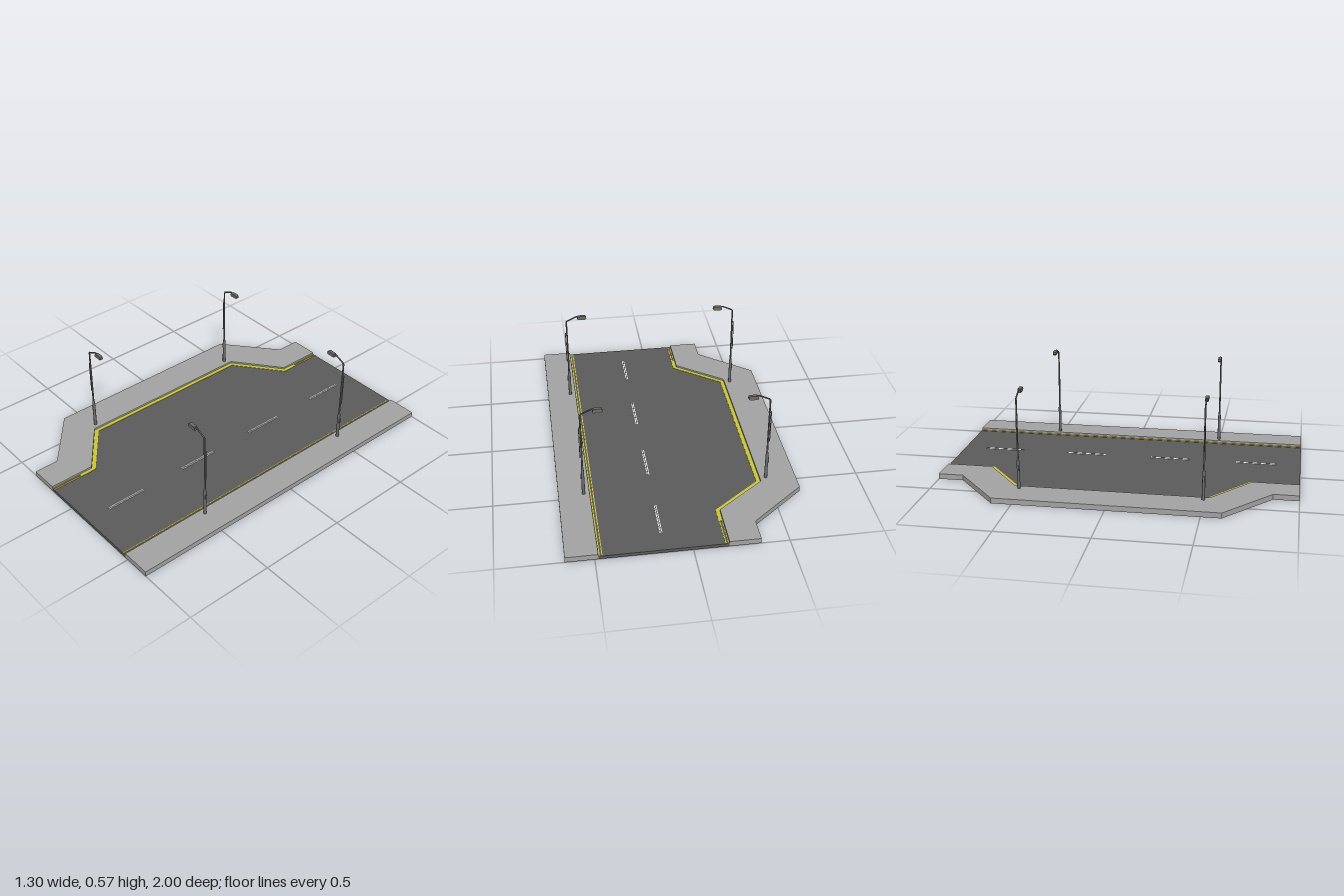
import * as THREE from 'three';

const mat = (name, color) => {
  const m = new THREE.MeshStandardMaterial({ color });
  m.name = name;
  return m;
};

export function createModel() {
  const paving = mat('paving grey', 0xa4a4a4);
  const asphalt = mat('asphalt', 0x5b5b5b);
  const yellow = mat('yellow', 0xcbc82e);
  const white = mat('white paint', 0xe6e6e6);
  const metal = mat('lamp metal', 0x6c6c6c);
  const model = new THREE.Group();
  const roadTop = 0.018, paveTop = 0.03;

  const add = (parent, name, geometry, material, x = 0, y = 0, z = 0) => {
    const mesh = new THREE.Mesh(geometry, material);
    mesh.name = name;
    mesh.position.set(x, y, z);
    parent.add(mesh);
    return mesh;
  };
  const box = (parent, name, material, w, h, d, x, y, z) =>
    add(parent, name, new THREE.BoxGeometry(w, h, d), material, x, y, z);

  // Flat slab from a plan outline, given as [x, z]
  const slab = (name, outline, bottom, top, material) => {
    const shape = new THREE.Shape(outline.map(([x, z]) => new THREE.Vector2(x, -z)));
    const g = new THREE.ExtrudeGeometry(shape, { depth: top - bottom, bevelEnabled: false });
    g.rotateX(-Math.PI / 2);
    return add(model, name, g, material, 0, bottom, 0);
  };
  // Mirrors one half of an edge line from front to back
  const mirrorZ = (half) => [...half, ...half.map(([x, z]) => [x, -z]).reverse()];

  // Ground: road with a lay-by, and a pavement on either side
  const kerb = mirrorZ([[-0.185, 1], [-0.185, 0.74], [-0.453, 0.53]]);
  const outer = mirrorZ([[-0.35, 1], [-0.35, 0.86], [-0.65, 0.61]]);
  slab('road', [...kerb, [0.482, -1], [0.482, 1]], 0, roadTop, asphalt);
  slab('layByPavement', [...kerb, ...[...outer].reverse()], 0, paveTop, paving);
  box(model, 'straightPavement', paving, 0.168, paveTop, 2, 0.566, paveTop / 2, 0);

  // Broad yellow line around the lay-by
  const lineOut = mirrorZ([[-0.184, 0.82], [-0.184, 0.74], [-0.452, 0.53]]);
  const lineIn = mirrorZ([[-0.163, 0.82], [-0.163, 0.728], [-0.43, 0.518]]);
  slab('layByLine', [...lineOut, ...lineIn.reverse()], roadTop, roadTop + 0.002, yellow);

  // Narrow double lines
  const doubleLine = (name, material, x, gap, z, length) => {
    for (const s of [-1, 1]) {
      box(model, name, material, 0.005, 0.002, length, x + s * gap / 2, roadTop + 0.001, z);
    }
  };
  for (const s of [-1, 1]) doubleLine('kerbLine', yellow, -0.174, 0.014, s * 0.91, 0.18);
  doubleLine('kerbLine', yellow, 0.47, 0.014, 0, 2);
  for (let i = 0; i < 4; i++) doubleLine('centreDash', white, 0.147, 0.009, -0.755 + i * 0.5, 0.23);

  // Street lamp, with the arm reaching towards local +x
  const streetLamp = () => {
    const lamp = new THREE.Group();
    lamp.name = 'streetLamp';
    const profile = [[0, 0.03], [0.009, 0.03], [0.008, 0.18], [0.005, 0.205], [0.0045, 0.535], [0, 0.538]];
    const pole = new THREE.LatheGeometry(profile.map(([r, y]) => new THREE.Vector2(r, y)), 12);
    add(lamp, 'pole', pole, metal);
    // Bent arm
    const path = new THREE.CurvePath();
    const pts = [[0, 0.53], [0.004, 0.54], [0.06, 0.566], [0.075, 0.565]]
      .map(([x, y]) => new THREE.Vector3(x, y, 0));
    for (let i = 0; i < 3; i++) path.add(new THREE.LineCurve3(pts[i], pts[i + 1]));
    add(lamp, 'arm', new THREE.TubeGeometry(path, 16, 0.0042, 8), metal);
    // Lamp head with its lens below
    const s = new THREE.Shape();
    s.moveTo(0.066, 0.549);
    s.lineTo(0.115, 0.549);
    s.lineTo(0.119, 0.554);
    s.lineTo(0.117, 0.565);
    s.lineTo(0.108, 0.57);
    s.lineTo(0.07, 0.568);
    s.lineTo(0.066, 0.56);
    const head = new THREE.ExtrudeGeometry(s, { depth: 0.018, bevelEnabled: false });
    add(lamp, 'head', head, metal, 0, 0, -0.009);
    box(lamp, 'lens', yellow, 0.042, 0.004, 0.014, 0.091, 0.547, 0);
    // Fittings on the outer side of the pole
    box(lamp, 'sideRail', metal, 0.004, 0.19, 0.006, -0.009, 0.365, 0);
    for (const y of [0.275, 0.455]) box(lamp, 'railBracket', metal, 0.008, 0.006, 0.006, -0.005, y, 0);
    box(lamp, 'serviceDoor', metal, 0.005, 0.03, 0.01, -0.009, 0.147, 0);
    return lamp;
  };
  for (const z of [-0.5, 0.5]) {
    const a = streetLamp();
    a.position.set(-0.486, 0, z);
    const b = streetLamp();
    b.position.set(0.514, 0, z);
    b.rotation.y = Math.PI;
    model.add(a, b);
  }
  return model;
}
